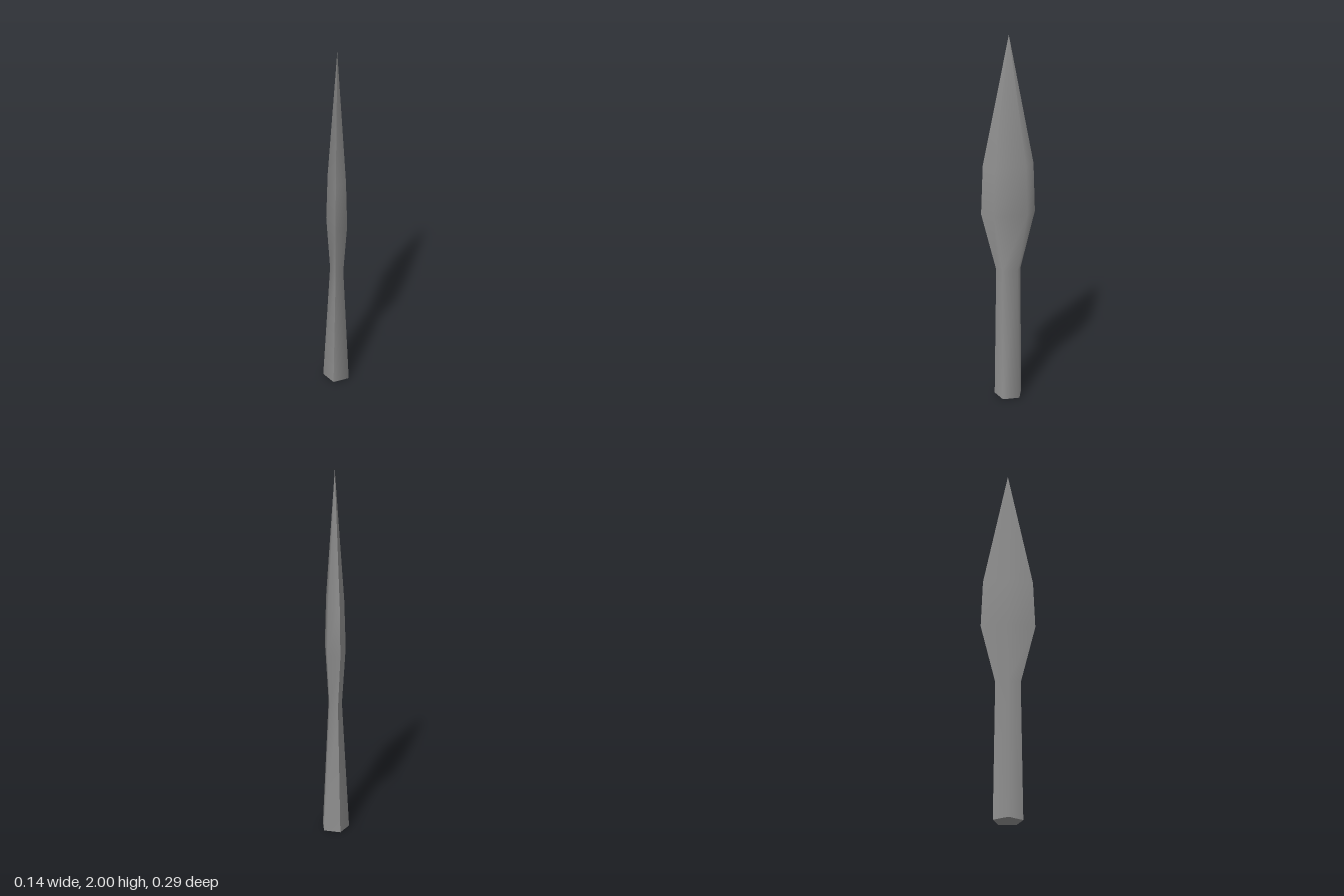
import * as THREE from 'three';
import { toCreasedNormals } from 'three/addons/utils/BufferGeometryUtils.js';

const SIDES = 5;
const CENTRE_X = 0.007;

// Five-sided sections from base to point: [y, radiusX, radiusZ]
const RINGS = [
  [0, 0.079, 0.079],
  [0.74, 0.038, 0.07],
  [1.055, 0.0575, 0.1525],
  [1.32, 0.049, 0.142],
  [2, 0, 0],
];

// Corner 0 points to -x; corners 1 and 4 are the two cutting edges.
function corner([y, rx, rz], i) {
  const a = (i * 2 * Math.PI) / SIDES;
  return [CENTRE_X - rx * Math.cos(a), y, rz * Math.sin(a)];
}

function trianglesToGeometry(points) {
  const geometry = new THREE.BufferGeometry();
  geometry.setAttribute('position', new THREE.Float32BufferAttribute(points.flat(), 3));
  return toCreasedNormals(geometry, Math.PI / 2);
}

// Smooth strip of neighbouring sides, running from base to point
function sideStrip(first, count) {
  const points = [];
  for (let i = first; i < first + count; i++) {
    for (let r = 0; r < RINGS.length - 1; r++) {
      const a = corner(RINGS[r], i);
      const b = corner(RINGS[r], i + 1);
      const c = corner(RINGS[r + 1], i + 1);
      const d = corner(RINGS[r + 1], i);
      points.push(a, b, c);
      if (RINGS[r + 1][1] > 0) points.push(a, c, d); // one triangle at the point
    }
  }
  return trianglesToGeometry(points);
}

function bottomCap() {
  const points = [];
  for (let i = 0; i < SIDES; i++) {
    points.push([CENTRE_X, 0, 0], corner(RINGS[0], i + 1), corner(RINGS[0], i));
  }
  return trianglesToGeometry(points);
}

export function createModel() {
  const group = new THREE.Group();
  group.name = 'spearhead';
  const material = new THREE.MeshStandardMaterial({ color: 0x8f8f8f });

  const add = (name, geometry) => {
    const mesh = new THREE.Mesh(geometry, material);
    mesh.name = name;
    group.add(mesh);
  };

  // The two halves meet in sharp cutting edges
  add('broadHalf', sideStrip(1, 3));
  add('ridgedHalf', sideStrip(-1, 2));
  add('socketBase', bottomCap());
  return group;
}
